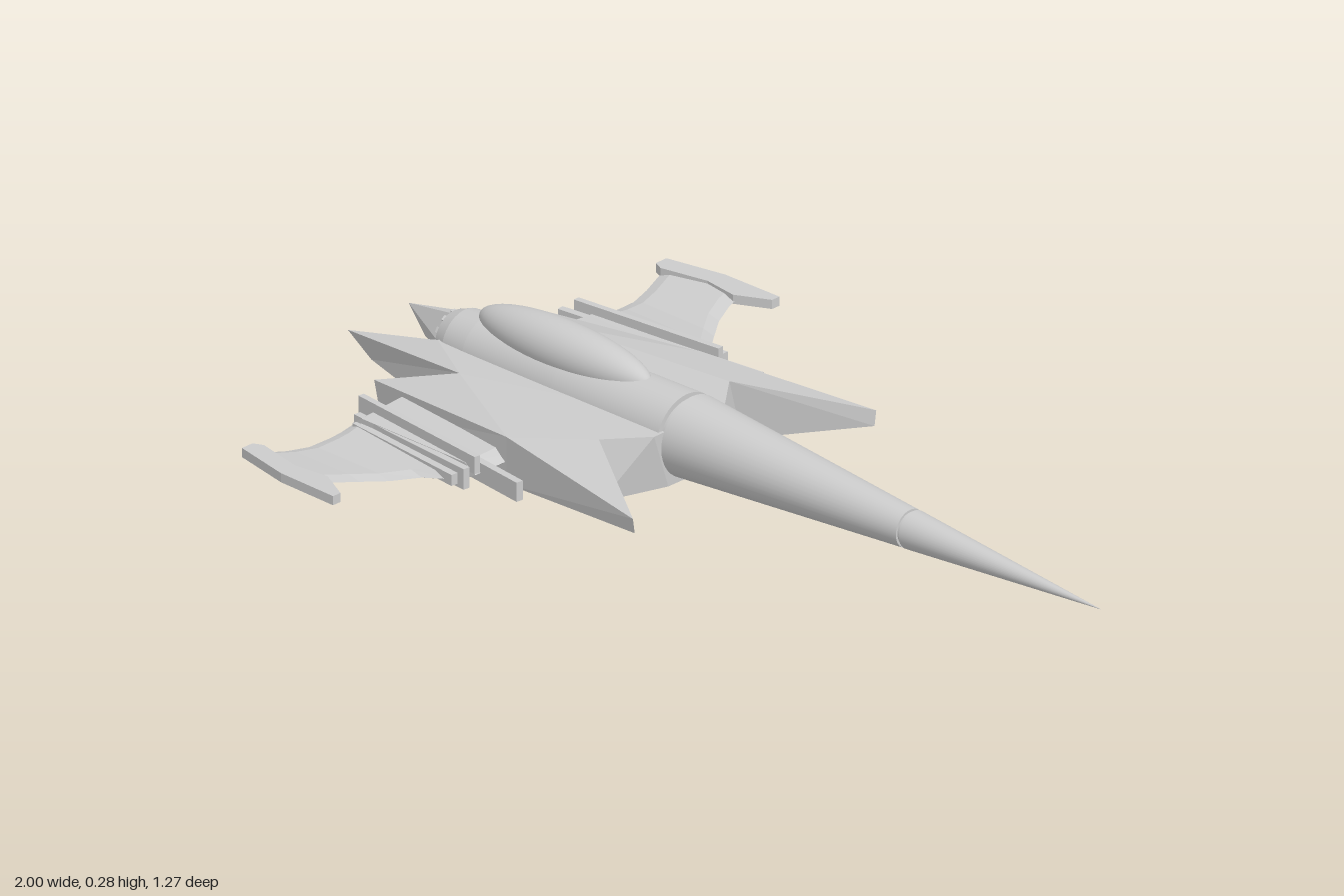
import * as THREE from 'three';

const grey = new THREE.MeshStandardMaterial({ color: 0xcccccc, side: THREE.DoubleSide });
const flat = new THREE.MeshStandardMaterial({ color: 0xcccccc, flatShading: true });
const AXIS_Y = 0.15;

function add(parent, name, geometry, material = flat) {
  const mesh = new THREE.Mesh(geometry, material);
  mesh.name = name;
  parent.add(mesh);
  return mesh;
}

// Copy of a geometry reflected in z, with its triangles turned round
function mirrored(geometry) {
  const g = geometry.index ? geometry.toNonIndexed() : geometry.clone();
  g.scale(1, 1, -1);
  const n = g.attributes.position.count;
  const index = [];
  for (let i = 0; i < n; i += 3) index.push(i, i + 2, i + 1);
  g.setIndex(index);
  g.computeVertexNormals();
  return g;
}

function addPair(parent, name, geometry) {
  add(parent, name + 'Left', geometry);
  add(parent, name + 'Right', mirrored(geometry));
}

function fromTriangles(points, tris) {
  const g = new THREE.BufferGeometry();
  g.setAttribute('position', new THREE.Float32BufferAttribute(tris.flatMap((t) => t.flatMap((i) => points[i])), 3));
  g.computeVertexNormals();
  return g;
}

// Turned part along x from [x, radius] pairs, each span with its own crisp ends
function turned(parent, name, profile, segments = 40) {
  const group = new THREE.Group();
  group.name = name;
  for (let i = 0; i < profile.length - 1; i++) {
    const pts = [profile[i], profile[i + 1]].map(([x, r]) => new THREE.Vector2(r, x));
    const g = new THREE.LatheGeometry(pts, segments);
    g.rotateZ(-Math.PI / 2);
    g.translate(0, AXIS_Y, 0);
    add(group, name + 'Section', g, grey);
  }
  parent.add(group);
}

// Half of the spiked hull: top and bottom outlines, capped and walled
function hullHalf() {
  const top = [
    [-0.14, 0.18, 0], [-0.14, 0.18, 0.1], [-0.21, 0.18, 0.185], [0.04, 0.145, 0.345],
    [-0.38, 0.158, 0.272], [-0.79, 0.13, 0.227], [-0.63, 0.172, 0.15],
    [-1.0, 0.12, 0.086], [-0.775, 0.165, 0.062], [-0.775, 0.165, 0],
  ];
  const bottom = [
    [-0.14, 0.057, 0], [-0.14, 0.057, 0.06], [-0.19, 0.055, 0.2], [0.04, 0.112, 0.34],
    [-0.38, 0.055, 0.272], [-0.78, 0.065, 0.222], [-0.64, 0.055, 0.15],
    [-0.945, 0.07, 0.076], [-0.79, 0.06, 0.02], [-0.79, 0.06, 0],
  ];
  const n = top.length;
  const cap = [[0, 1, 2], [2, 3, 4], [2, 4, 6], [4, 5, 6], [0, 2, 6], [0, 6, 9], [6, 8, 9], [6, 7, 8]];
  const tris = [];
  for (const [a, b, c] of cap) tris.push([a, c, b], [n + a, n + b, n + c]);
  for (let i = 0; i < n - 1; i++) tris.push([i, i + 1, n + i + 1], [i, n + i + 1, n + i]);
  return fromTriangles([...top, ...bottom], tris);
}

// Loft of six-sided sections [z, rear x, front x, y, half thickness]
function wingBlade(sections) {
  const points = sections.flatMap(([z, r, f, y, t]) => [
    [r, y, z], [r + 0.025, y + t, z], [f - 0.03, y + t, z],
    [f, y, z], [f - 0.03, y - t, z], [r + 0.025, y - t, z],
  ]);
  const tris = [];
  for (let s = 0; s < sections.length - 1; s++) {
    for (let k = 0; k < 6; k++) {
      const a = s * 6 + k, b = s * 6 + (k + 1) % 6;
      tris.push([a, a + 6, b], [b, a + 6, b + 6]);
    }
  }
  const e = (sections.length - 1) * 6;
  for (let k = 1; k < 5; k++) tris.push([0, k, k + 1], [e, e + k + 1, e + k]);
  return fromTriangles(points, tris);
}

// Long rail box running between two [x, z] ends
function rail(x0, z0, x1, z1, y0, y1, width) {
  const g = new THREE.BoxGeometry(Math.hypot(x1 - x0, z1 - z0), y1 - y0, width);
  g.rotateY(-Math.atan2(z1 - z0, x1 - x0));
  g.translate((x0 + x1) / 2, (y0 + y1) / 2, (z0 + z1) / 2);
  return g;
}

export function createModel() {
  const model = new THREE.Group();
  model.name = 'starfighter';

  // Needle nose, with a seam groove and a narrow collar behind it
  turned(model, 'nose', [
    [-0.133, 0], [-0.133, 0.087], [0.47, 0.041], [0.47, 0.036], [0.478, 0.036],
    [0.478, 0.041], [1.0, 0],
  ]);
  turned(model, 'collar', [[-0.16, 0.076], [-0.13, 0.076]]);

  // Tapering fuselage with a hollow exhaust
  turned(model, 'fuselage', [
    [-0.147, 0], [-0.147, 0.087], [-0.45, 0.081], [-0.7, 0.072], [-0.76, 0.066],
    [-0.79, 0.054], [-0.79, 0.044], [-0.75, 0.04], [-0.75, 0],
  ]);
  for (let i = 0; i < 12; i++) {
    const a = (i / 12) * Math.PI * 2;
    const g = new THREE.BoxGeometry(0.05, 0.012, 0.012);
    g.translate(-0.77, 0.048, 0);
    g.rotateX(a);
    g.translate(0, AXIS_Y, 0);
    add(model, 'exhaustRib', g);
  }

  // Canopy
  const canopy = new THREE.SphereGeometry(1, 40, 24);
  canopy.rotateZ(Math.PI / 2);
  canopy.scale(0.233, 0.056, 0.057);
  canopy.translate(-0.482, 0.224, 0);
  add(model, 'canopy', canopy, grey);

  // Spiked hull
  addPair(model, 'hull', hullHalf());

  // Belly plate, column and docking rings
  const belly = new THREE.Group();
  belly.name = 'dockingRing';
  belly.position.set(-0.408, 0, 0);
  model.add(belly);
  const plate = new THREE.CylinderGeometry(0.185, 0.15, 0.022, 8);
  plate.rotateY(Math.PI / 8);
  plate.translate(0, 0.05, 0);
  add(belly, 'bellyPlate', plate);
  const column = new THREE.CylinderGeometry(0.135, 0.135, 0.045, 40);
  column.translate(0, 0.04, 0);
  add(belly, 'column', column, grey);
  for (const [radius, tube, y] of [[0.128, 0.014, 0.014], [0.134, 0.011, 0.027], [0.092, 0.008, 0.014]]) {
    const ring = new THREE.TorusGeometry(radius, tube, 12, 48);
    ring.rotateX(Math.PI / 2);
    ring.translate(0, y, 0);
    add(belly, 'ring', ring, grey);
  }

  // Wing roots and side rails
  addPair(model, 'wingRoot', wingBlade([[0.2, -0.73, -0.38, 0.105, 0.022], [0.35, -0.73, -0.39, 0.098, 0.018]]));
  addPair(model, 'innerRail', rail(-0.77, 0.28, -0.275, 0.343, 0.078, 0.12, 0.016));
  addPair(model, 'upperRail', rail(-0.75, 0.305, -0.39, 0.345, 0.1, 0.138, 0.014));
  addPair(model, 'middleRail', rail(-0.73, 0.337, -0.4, 0.365, 0.07, 0.115, 0.016));
  addPair(model, 'outerRail', rail(-0.72, 0.352, -0.415, 0.384, 0.08, 0.104, 0.016));

  // Drooping swept wings
  addPair(model, 'wing', wingBlade([
    [0.35, -0.73, -0.41, 0.094, 0.011], [0.385, -0.73, -0.43, 0.088, 0.009],
    [0.41, -0.735, -0.48, 0.083, 0.008], [0.46, -0.742, -0.52, 0.079, 0.007],
    [0.51, -0.755, -0.555, 0.083, 0.007], [0.56, -0.77, -0.575, 0.092, 0.007],
    [0.595, -0.78, -0.58, 0.099, 0.007],
  ]));

  // Wing tip plates
  const outline = [[-0.79, 0.572], [-0.768, 0.562], [-0.66, 0.585], [-0.58, 0.575],
    [-0.508, 0.612], [-0.508, 0.633], [-0.655, 0.63], [-0.79, 0.602]];
  const shape = new THREE.Shape(outline.map(([x, z]) => new THREE.Vector2(x, -z)));
  const tip = new THREE.ExtrudeGeometry(shape, { depth: 0.02, bevelEnabled: false });
  tip.rotateX(-Math.PI / 2);
  tip.translate(0, 0.09, 0);
  addPair(model, 'wingTip', tip);

  return model;
}
